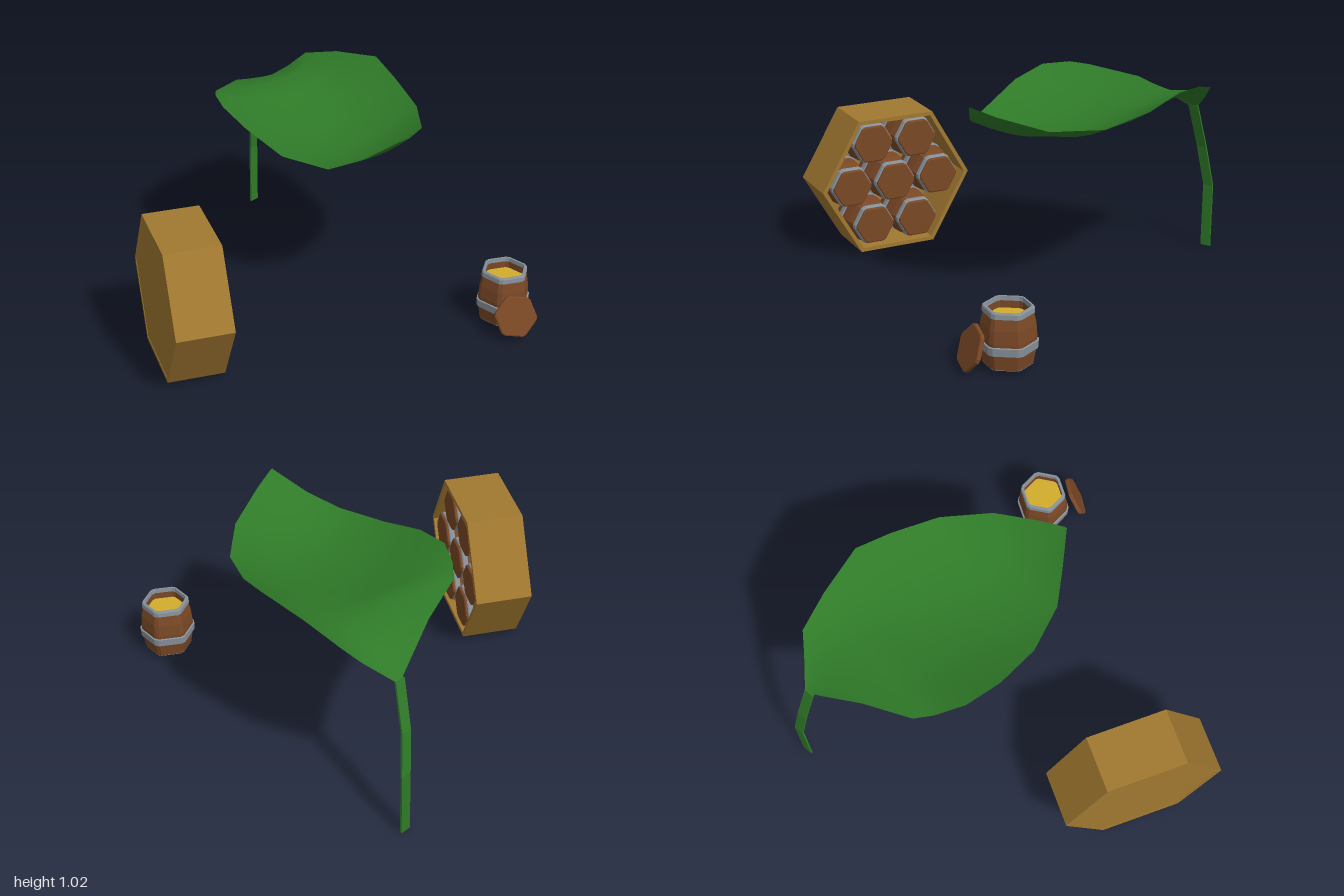
import * as THREE from 'three';

const mat = (name, color, side = THREE.FrontSide) => {
  const m = new THREE.MeshStandardMaterial({ color, side });
  m.name = name;
  return m;
};

// Stack of six-sided rings with trimmed corners, from a [radius, height] profile
function hexLoft(profile) {
  const angles = [];
  for (let k = 0; k < 6; k++) for (const d of [-0.09, 0.09]) angles.push((k * Math.PI) / 3 + d);
  const n = angles.length, pos = [], idx = [];
  for (const [r, y] of profile) for (const a of angles) pos.push(r * Math.cos(a), y, r * Math.sin(a));
  for (let i = 0; i < profile.length - 1; i++)
    for (let j = 0; j < n; j++) {
      const a = i * n + j, b = i * n + ((j + 1) % n), c = a + n, d = b + n;
      if (profile[i][0] > 0) idx.push(a, c, b);
      if (profile[i + 1][0] > 0) idx.push(b, c, d);
    }
  return finish(pos, idx, true);
}

function finish(pos, idx, flat) {
  let g = new THREE.BufferGeometry();
  g.setAttribute('position', new THREE.Float32BufferAttribute(pos, 3));
  g.setIndex(idx);
  if (flat) g = g.toNonIndexed();
  g.computeVertexNormals();
  return g;
}

function add(parent, name, geometry, material) {
  const m = new THREE.Mesh(geometry, material);
  m.name = name;
  parent.add(m);
  return m;
}

function group(parent, name) {
  const g = new THREE.Group();
  g.name = name;
  parent.add(g);
  return g;
}

export function createModel() {
  const wood = mat('barrelWood', 0x7a4826);
  const metal = mat('metal', 0x87919a);
  const honey = mat('honey', 0xd2ae2c);
  const ochre = mat('crateWood', 0xa17830);
  const green = mat('leafGreen', 0x2f7a28, THREE.DoubleSide);

  const root = new THREE.Group();
  root.name = 'honeyCamp';

  // Shared barrel and lid geometries
  const staves = hexLoft([[0.113, 0.002], [0.125, 0.07], [0.128, 0.13], [0.123, 0.19], [0.109, 0.25],
    [0.108, 0.262], [0.1, 0.262], [0.1, 0.15]]);
  const base = hexLoft([[0, 0], [0.113, 0], [0.113, 0.002]]);
  const lowerBand = hexLoft([[0.122, 0.072], [0.133, 0.075], [0.135, 0.112], [0.124, 0.115]]);
  const rim = hexLoft([[0.108, 0.238], [0.117, 0.242], [0.115, 0.264], [0.11, 0.27], [0.1, 0.27], [0.098, 0.25]]);
  const fill = hexLoft([[0.102, 0.215], [0, 0.215]]);
  const lidTop = hexLoft([[0.105, 0], [0.108, 0.004], [0.108, 0.016], [0.102, 0.02], [0, 0.02]]);
  const lidUnder = hexLoft([[0, 0], [0.105, 0]]);

  function makeBarrel(parent, name) {
    const b = group(parent, name);
    add(b, 'staves', staves, wood);
    add(b, 'base', base, metal);
    add(b, 'lowerBand', lowerBand, metal);
    add(b, 'rimBand', rim, metal);
    return b;
  }

  function makeLid(parent) {
    const l = group(parent, 'lid');
    add(l, 'lidTop', lidTop, wood);
    add(l, 'lidUnderside', lidUnder, honey);
    return l;
  }

  // Hexagonal crate, open at its local +z
  const crate = group(root, 'crate');
  crate.position.set(-0.63, 0.37, -0.125);
  crate.rotation.y = Math.PI / 3;
  const hexPoints = (r) => Array.from({ length: 6 }, (_, k) =>
    new THREE.Vector2(r * Math.cos((k * Math.PI) / 3), r * Math.sin((k * Math.PI) / 3)));
  const wall = new THREE.Shape(hexPoints(0.4));
  wall.holes.push(new THREE.Path(hexPoints(0.377).reverse()));
  add(crate, 'crateWalls', new THREE.ExtrudeGeometry(wall, { depth: 0.28, bevelEnabled: false }), ochre).position.z = -0.14;
  add(crate, 'crateBack', new THREE.ExtrudeGeometry(new THREE.Shape(hexPoints(0.378)),
    { depth: 0.012, bevelEnabled: false }), ochre).position.z = -0.138;

  // Seven stored barrels in rows of two, three and two
  [[2, 0.216], [3, 0], [2, -0.216]].forEach(([count, y]) => {
    for (let i = 0; i < count; i++) {
      const b = makeBarrel(crate, 'storedBarrel');
      b.position.set((i - (count - 1) / 2) * 0.236, y, -0.13);
      b.rotation.x = Math.PI / 2;
      b.scale.setScalar(0.93);
      makeLid(b).position.y = 0.264;
    }
  });

  // Open barrel full of honey, its lid leaning on it
  const open = makeBarrel(root, 'openBarrel');
  open.position.set(0.692, 0.02, 0.775);
  open.rotation.y = Math.PI / 6 - 0.04;
  add(open, 'honeyFill', fill, honey);

  const lid = makeLid(root);
  lid.name = 'leaningLid';
  lid.position.set(0.6, 0.113, 0.917);
  lid.quaternion.setFromUnitVectors(new THREE.Vector3(0, 1, 0),
    new THREE.Vector3(-0.53, 0.36, 0.77).normalize());
  lid.rotateY(0.25);

  // Leaf canopy: left edge, midrib and right edge at each station from stem to tip
  const stations = [
    [[0.69, 0.77, -0.89], [0.715, 0.765, -0.9], [0.74, 0.77, -0.9]],
    [[0.45, 0.9, -0.805], [0.67, 0.87, -0.76], [0.83, 0.86, -0.79]],
    [[0.21, 0.945, -0.72], [0.62, 0.92, -0.6], [0.89, 0.935, -0.72]],
    [[0.14, 0.965, -0.65], [0.58, 0.89, -0.48], [0.92, 0.99, -0.53]],
    [[0.06, 0.97, -0.52], [0.53, 0.85, -0.33], [0.945, 1.025, -0.28]],
    [[0.02, 0.93, -0.33], [0.48, 0.82, -0.18], [0.89, 0.97, -0.1]],
    [[0.02, 0.86, -0.09], [0.42, 0.805, 0], [0.785, 0.925, 0.12]],
    [[0.08, 0.85, 0.15], [0.36, 0.835, 0.17], [0.6, 0.93, 0.3]],
    [[0.165, 0.915, 0.29], [0.31, 0.91, 0.31], [0.38, 0.985, 0.395]],
    [[0.255, 1.02, 0.43], [0.26, 1.02, 0.43], [0.265, 1.02, 0.43]],
  ];
  const cols = 8, pos = [], idx = [];
  stations.forEach(([l, m, r], i) => {
    for (let j = 0; j <= cols; j++) {
      const s = j / cols;
      const wl = (1 - s) * (1 - 2 * s), wm = 4 * s * (1 - s), wr = s * (2 * s - 1);
      for (let k = 0; k < 3; k++) pos.push(wl * l[k] + wm * m[k] + wr * r[k]);
      if (i < stations.length - 1 && j < cols) {
        const a = i * (cols + 1) + j, c = a + cols + 1;
        idx.push(a, c, a + 1, a + 1, c, c + 1);
      }
    }
  });
  add(root, 'leaf', finish(pos, idx, false), green);

  // Flat bent stem
  const path = [[0.77, 0, -0.995], [0.77, 0.33, -0.995], [0.74, 0.54, -0.963], [0.715, 0.77, -0.897]];
  const sp = [], si = [];
  path.forEach(([x, y, z], i) => {
    for (const [dx, dz] of [[-0.026, -0.005], [-0.026, 0.005], [0.026, 0.005], [0.026, -0.005]])
      sp.push(x + dx, y, z + dz);
    for (let j = 0; j < 4 && i < path.length - 1; j++) {
      const a = i * 4 + j, b = i * 4 + ((j + 1) % 4);
      si.push(a, b, a + 4, b, b + 4, a + 4);
    }
  });
  si.push(0, 2, 1, 0, 3, 2, 12, 13, 14, 12, 14, 15);
  add(root, 'stem', finish(sp, si, true), green);

  return root;
}
